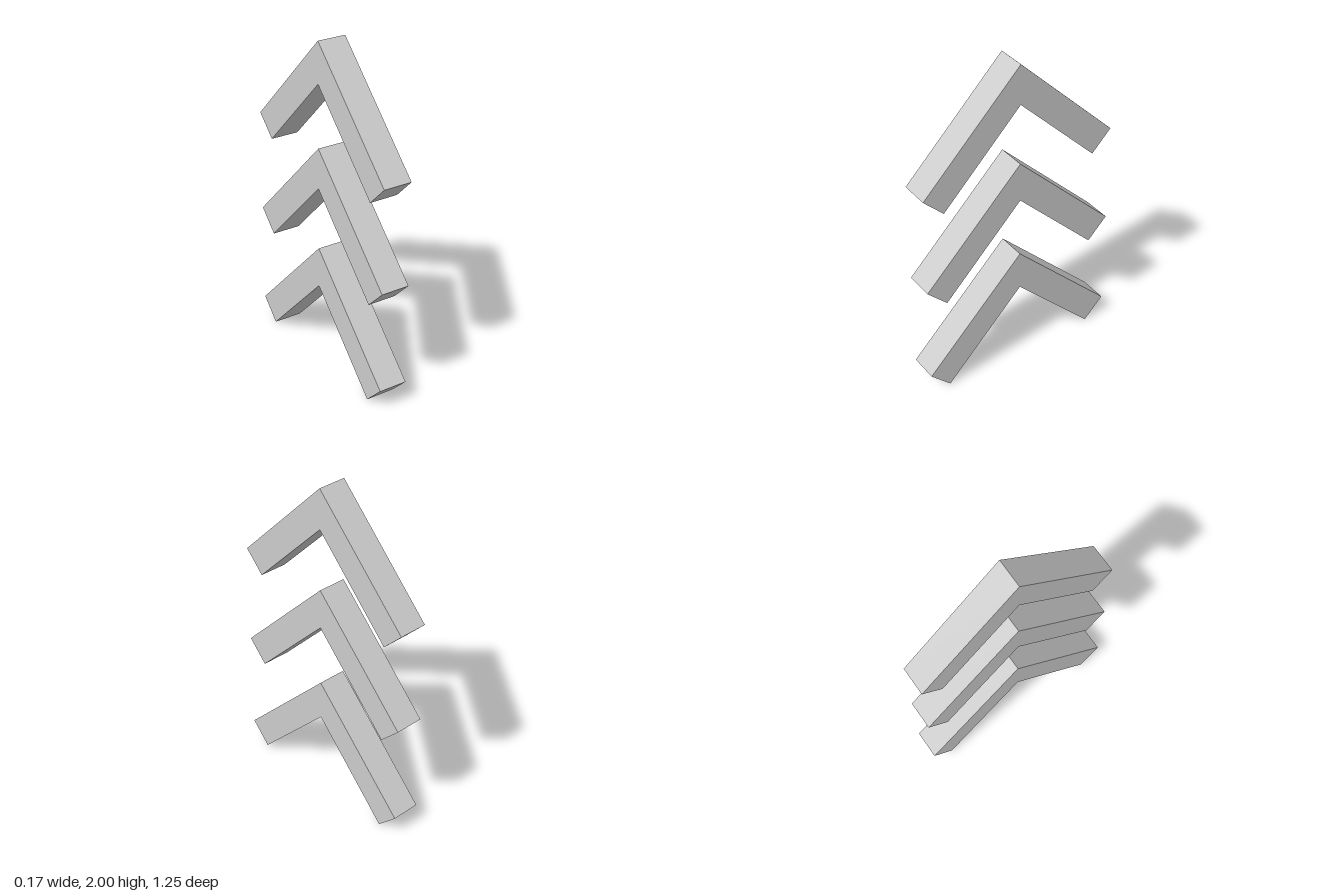
import * as THREE from 'three';

const WIDTH = 0.175; // thickness along x
const PITCH = 0.625; // vertical spacing between chevrons

export function createModel() {
  const group = new THREE.Group();
  group.name = 'stackedChevrons';
  const material = new THREE.MeshStandardMaterial({ color: 0xcccccc, flatShading: true });

  // Chevron profile: two square-ended arms meeting at a right angle
  const profile = new THREE.Shape([
    [0, 0.75], [-0.625, 0.125], [-0.5, 0], [0, 0.504], [0.5, 0], [0.625, 0.125],
  ].map(([x, y]) => new THREE.Vector2(x, y)));

  // Extruded, centred, and turned so the arms spread along z
  const geometry = new THREE.ExtrudeGeometry(profile, { depth: WIDTH, bevelEnabled: false });
  geometry.translate(0, 0, -WIDTH / 2);
  geometry.rotateY(Math.PI / 2);

  // Three identical chevrons, one above another
  ['lowerChevron', 'middleChevron', 'upperChevron'].forEach((name, i) => {
    const chevron = new THREE.Mesh(geometry, material);
    chevron.name = name;
    chevron.position.y = i * PITCH;
    group.add(chevron);
  });

  return group;
}
